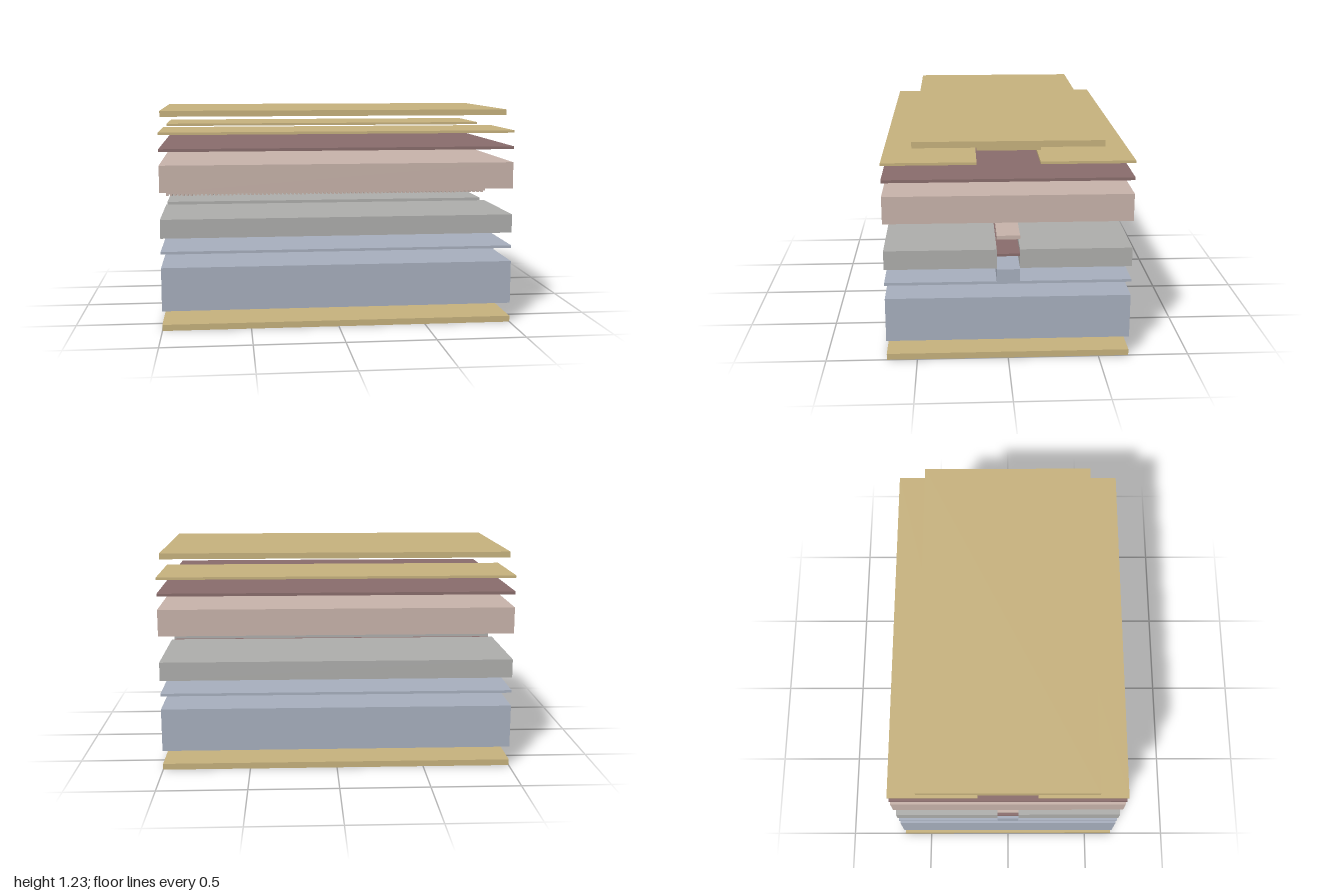
import * as THREE from 'three';

const mat = (name, color) => {
  const m = new THREE.MeshStandardMaterial({ color });
  m.name = name;
  return m;
};

export function createModel() {
  const model = new THREE.Group();
  model.name = 'layeredStack';

  const gold = mat('gold', 0xc9b47f);
  const blue = mat('slateBlue', 0xa9b1c0);
  const grey = mat('grey', 0xb0b0ae);
  const pink = mat('palePink', 0xcab5ac);
  const maroon = mat('maroon', 0x8b6e6d);

  const L = 1, D = 0.667, RIDGE = 0.0625, GAP = 0.167;

  // Flat slab spanning the full length, given its y and z limits
  const slab = (name, material, y0, y1, z0 = -D, z1 = D) => {
    const mesh = new THREE.Mesh(new THREE.BoxGeometry(2 * L, y1 - y0, z1 - z0), material);
    mesh.position.set(0, (y0 + y1) / 2, (z0 + z1) / 2);
    mesh.name = name;
    model.add(mesh);
  };

  // Cross-section in (z, y), extruded along the length
  const profile = (name, material, pts) => {
    const shape = new THREE.Shape(pts.map(([z, y]) => new THREE.Vector2(z, y)));
    const geo = new THREE.ExtrudeGeometry(shape, { depth: 2 * L, bevelEnabled: false });
    geo.translate(0, 0, -L).rotateY(-Math.PI / 2);
    const mesh = new THREE.Mesh(geo, material);
    mesh.name = name;
    model.add(mesh);
  };

  // Lower layers
  slab('bottomContact', gold, 0, 0.035);
  slab('substrate', blue, 0.113, 0.36);
  profile('ridgedLayer', blue, [
    [-D, 0.437], [D, 0.437], [D, 0.452], [RIDGE, 0.452],
    [RIDGE, 0.52], [-RIDGE, 0.52], [-RIDGE, 0.452], [-D, 0.452],
  ]);

  // Active strip between the two side blocks
  slab('activeStrip', maroon, 0.595, 0.609, -RIDGE, RIDGE);
  slab('frontBlock', grey, 0.527, 0.633, RIDGE, D);
  slab('backBlock', grey, 0.527, 0.633, -D, -RIDGE);

  // Grating strip with fine teeth along its underside
  const teeth = 80, pitch = 2 * L / teeth;
  const outline = new THREE.Shape();
  outline.moveTo(-L, 0.711);
  for (let i = 0; i < teeth; i++) {
    const x = -L + i * pitch;
    outline.lineTo(x, 0.686);
    outline.lineTo(x + pitch / 2, 0.686);
    outline.lineTo(x + pitch / 2, 0.695);
    outline.lineTo(x + pitch, 0.695);
  }
  outline.lineTo(L, 0.711);
  const gratingGeo = new THREE.ExtrudeGeometry(outline, { depth: 2 * RIDGE, bevelEnabled: false });
  gratingGeo.translate(0, 0, -RIDGE);
  const grating = new THREE.Mesh(gratingGeo, pink);
  grating.name = 'gratingStrip';
  model.add(grating);

  // Upper layers
  slab('cladding', pink, 0.784, 0.934);
  slab('contactLayer', maroon, 1.009, 1.025);
  slab('frontInsulator', gold, 1.102, 1.116, GAP, D);
  slab('backInsulator', gold, 1.102, 1.116, -D, -GAP);

  // Top electrode with a key that drops into the insulator gap
  profile('topElectrode', gold, [
    [-GAP, 1.178], [GAP, 1.178], [GAP, 1.194], [0.502, 1.194],
    [0.502, 1.227], [-0.502, 1.227], [-0.502, 1.194], [-GAP, 1.194],
  ]);

  return model;
}
